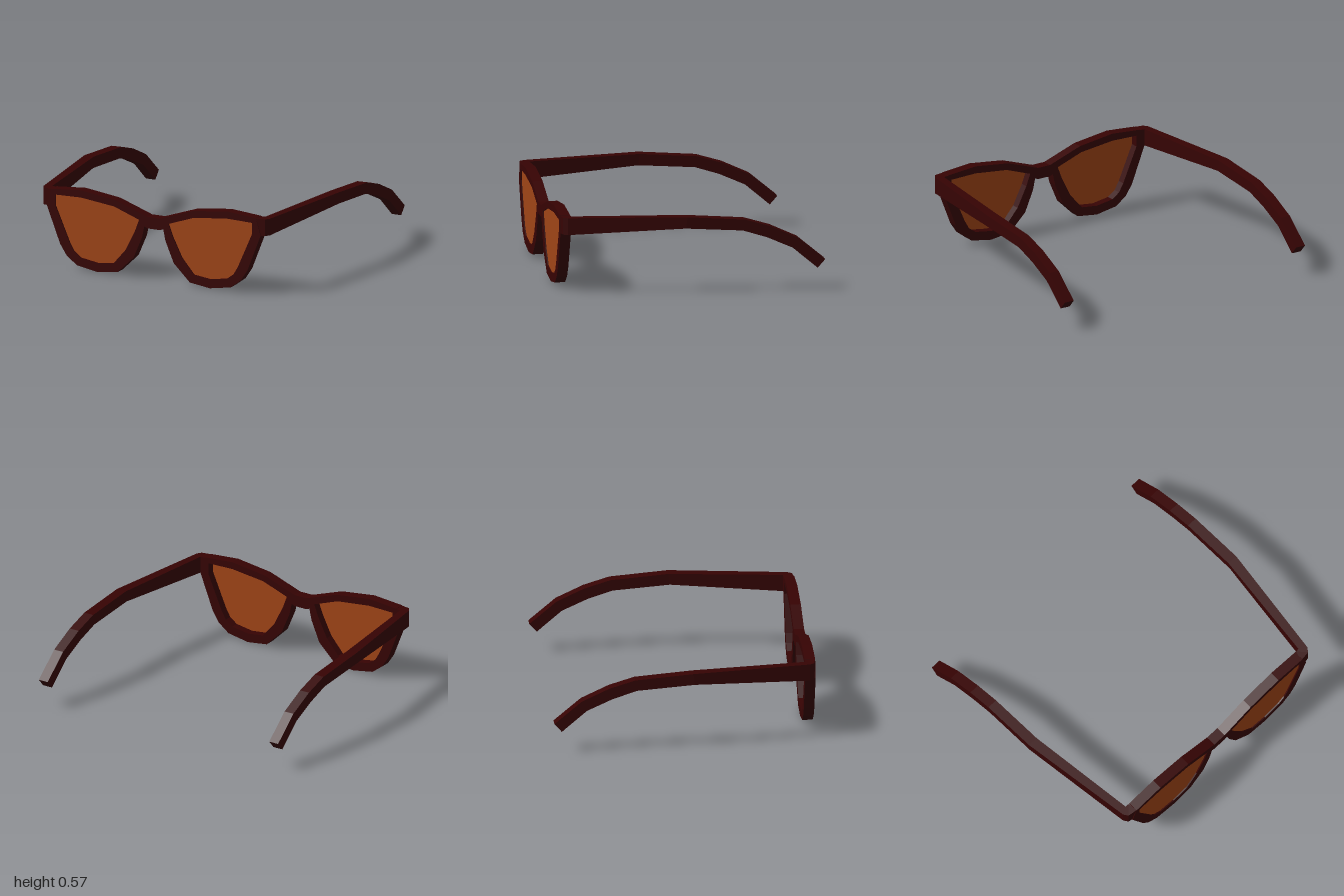
import * as THREE from 'three';

const frameMaterial = new THREE.MeshStandardMaterial({ color: 0x360303 });
frameMaterial.name = 'dark maroon frame';
const lensMaterial = new THREE.MeshStandardMaterial({ color: 0xa04517 });
lensMaterial.name = 'amber lens';

// Half of the front outline, from the top of the bridge round to its underside
const rim = [
  [0.05, 0.45], [0.3, 0.537], [0.57, 0.572], [0.8, 0.553], [0.837, 0.43],
  [0.733, 0.165], [0.682, 0.088], [0.602, 0.028], [0.44, 0], [0.283, 0.021],
  [0.157, 0.143], [0.092, 0.295], [0.074, 0.377], [0.05, 0.367],
];
const opening = [
  [0.77, 0.515], [0.77, 0.435], [0.66, 0.185], [0.625, 0.125], [0.57, 0.085],
  [0.44, 0.065], [0.315, 0.08], [0.22, 0.19], [0.147, 0.335], [0.115, 0.42],
  [0.31, 0.49], [0.57, 0.52],
];

// Temple sections: outer x, inner x, top y, bottom y, z outside top, z shift inside, z shift at bottom
const templeSections = [
  [0.785, 0.785, 0.552, 0.43, 0.915, -0.073, 0],
  [0.866, 0.81, 0.55, 0.43, 0.904, -0.062, 0],
  [0.888, 0.835, 0.55, 0.43, 0.872, -0.032, 0],
  [1, 0.926, 0.55, 0.47, 0.05, 0, 0.01],
  [1, 0.926, 0.517, 0.44, -0.355, 0, 0.015],
  [1, 0.926, 0.462, 0.385, -0.535, 0, 0.025],
  [1, 0.926, 0.372, 0.303, -0.728, 0, 0.037],
  [1, 0.926, 0.212, 0.153, -0.918, 0, 0.052],
];

const points = (list, side = 1) => list.map(([x, y]) => new THREE.Vector2(x * side, y));

function plate(shape, depth, z) {
  const geometry = new THREE.ExtrudeGeometry(shape, { depth, bevelEnabled: false });
  return geometry.translate(0, 0, z);
}

function templeGeometry(side) {
  const rings = templeSections.map(([xo, xi, yt, yb, z, dIn, dBot]) => [
    [xo * side, yt, z], [xi * side, yt, z + dIn],
    [xi * side, yb, z + dIn + dBot], [xo * side, yb, z + dBot],
  ]);
  const positions = [];
  const triangle = (a, b, c) => positions.push(...a, ...(side > 0 ? [...b, ...c] : [...c, ...b]));
  const quad = (a, b, c, d) => { triangle(a, b, c); triangle(a, c, d); };
  for (let i = 0; i < rings.length - 1; i++) {
    for (let j = 0; j < 4; j++) {
      const k = (j + 1) % 4;
      quad(rings[i][j], rings[i + 1][j], rings[i + 1][k], rings[i][k]);
    }
  }
  const [a, b, c, d] = rings[rings.length - 1];
  quad(a, d, c, b);
  const geometry = new THREE.BufferGeometry();
  geometry.setAttribute('position', new THREE.Float32BufferAttribute(positions, 3));
  geometry.computeVertexNormals();
  return geometry;
}

export function createModel() {
  const group = new THREE.Group();
  group.name = 'sunglasses';
  const add = (name, geometry, material) => {
    const mesh = new THREE.Mesh(geometry, material);
    mesh.name = name;
    group.add(mesh);
  };

  // Front frame with two lens openings (counter-clockwise outline, so the opening walls face inward)
  const shape = new THREE.Shape([...points(rim, -1), ...points(rim).reverse()]);
  for (const side of [1, -1]) shape.holes.push(new THREE.Path(points(opening, side)));
  add('frontFrame', plate(shape, 0.073, 0.842), frameMaterial);

  // Lenses set near the front of the frame, and temples, mirrored
  for (const side of [1, -1]) {
    const label = side > 0 ? 'left' : 'right';
    add(label + 'Lens', plate(new THREE.Shape(points(opening, side)), 0.008, 0.898), lensMaterial);
    add(label + 'Temple', templeGeometry(side), frameMaterial);
  }
  return group;
}
